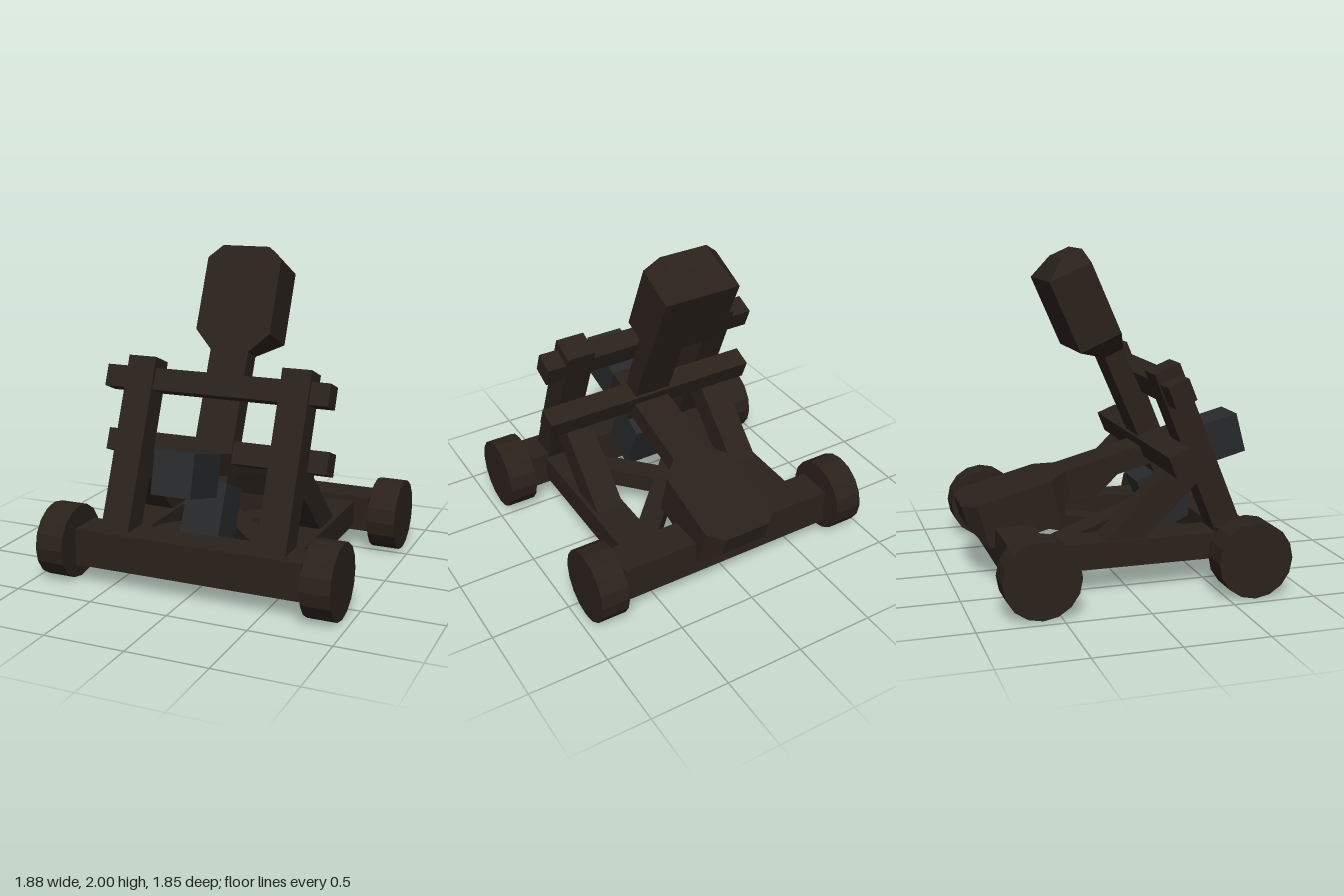
import * as THREE from 'three';

const wood = new THREE.MeshStandardMaterial({ color: 0x2a211b, flatShading: true });
const iron = new THREE.MeshStandardMaterial({ color: 0x27292b, flatShading: true });

export function createModel() {
  const model = new THREE.Group();
  model.name = 'catapult';

  const add = (name, geometry, material = wood, parent = model) => {
    const mesh = new THREE.Mesh(geometry, material);
    mesh.name = name;
    parent.add(mesh);
    return mesh;
  };

  const box = (name, size, position) => {
    const mesh = add(name, new THREE.BoxGeometry(...size));
    mesh.position.set(...position);
    return mesh;
  };

  // Square-ended beam at a fixed x, between two [z, y] points
  const slopedBeam = (name, x, width, thick, [z0, y0], [z1, y1]) => {
    const length = Math.hypot(z1 - z0, y1 - y0);
    const mesh = box(name, [width, length, thick], [x, (y0 + y1) / 2, (z0 + z1) / 2]);
    mesh.rotation.x = Math.atan2(z1 - z0, y1 - y0);
  };

  // Rectangular sections [distance along, half width, depth] joined into a solid
  const loft = (sections) => {
    const pos = [], index = [];
    for (const [s, w, d] of sections) pos.push(-w, s, 0, w, s, 0, w, s, -d, -w, s, -d);
    const quad = (a, b, c, d) => index.push(a, b, c, a, c, d);
    const last = (sections.length - 1) * 4;
    for (let k = 0; k < last; k += 4) {
      for (let i = 0; i < 4; i++) {
        const j = (i + 1) % 4;
        quad(k + i, k + j, k + 4 + j, k + 4 + i);
      }
    }
    quad(3, 2, 1, 0);
    quad(last, last + 1, last + 2, last + 3);
    const indexed = new THREE.BufferGeometry();
    indexed.setAttribute('position', new THREE.Float32BufferAttribute(pos, 3));
    indexed.setIndex(index);
    const geometry = indexed.toNonIndexed();
    geometry.computeVertexNormals();
    return geometry;
  };

  // Wheels
  for (const [end, z] of [['front', 0.657], ['rear', -0.613]]) {
    for (const [side, x] of [['Left', 0.85], ['Right', -0.85]]) {
      const wheel = add(`${end}${side}Wheel`, new THREE.CylinderGeometry(0.228, 0.228, 0.18, 16));
      wheel.rotation.z = Math.PI / 2;
      wheel.position.set(x, 0.228, z);
    }
  }

  // Base frame
  box('frontAxleBeam', [1.455, 0.23, 0.23], [0, 0.23, 0.657]);
  box('rearAxleBeam', [1.455, 0.23, 0.23], [0, 0.23, -0.625]);
  for (const [side, x] of [['left', 0.52], ['right', -0.49]]) {
    box(`${side}SideBeam`, [0.225, 0.16, 1.27], [x, 0.232, 0.015]);
    slopedBeam(`${side}Upright`, x + 0.0, 0.184, 0.168, [0.672, 0.22], [0.2275, 1.3175]);
    slopedBeam(`${side}Brace`, x - 0.005, 0.18, 0.175, [-0.1, 0.243], [0.41, 0.735]);
  }

  // Crossed braces under the frame
  [1, -1].forEach((dir, i) => {
    const brace = box('crossBrace', [0.14, 0.12 - i * 0.01, 1.4], [0.01, 0.23, 0.015]);
    brace.rotation.y = dir * Math.atan(1 / 1.1);
  });

  // Horizontal beams across the uprights
  for (const [name, y, z] of [['topCrossbar', 1.192, 0.27], ['lowerCrossbar', 0.785, 0.277]]) {
    box(name, [1.46, 0.136, 0.136], [0, y, z]).rotation.x = -0.386;
  }

  // Two throwing arms, each a weight, a shaft and a chamfered head
  const throwingArm = (name, y, z, degrees) => {
    const arm = new THREE.Group();
    arm.name = name;
    arm.position.set(0, y, z);
    arm.rotation.x = THREE.MathUtils.degToRad(degrees);
    add('counterweight', loft([[0, 0.125, 0.257], [0.37, 0.125, 0.257]]), iron, arm);
    add('shaftAndHead', loft([
      [0.37, 0.125, 0.13],
      [1.18, 0.125, 0.13],
      [1.3, 0.245, 0.28],
      [1.767, 0.245, 0.28],
      [1.85, 0.155, 0.135],
    ]), wood, arm);
    model.add(arm);
  };
  throwingArm('raisedArm', 0.303, 0.577, -23.7);
  throwingArm('loweredArm', 0.937, 0.865, -104.75);

  return model;
}
